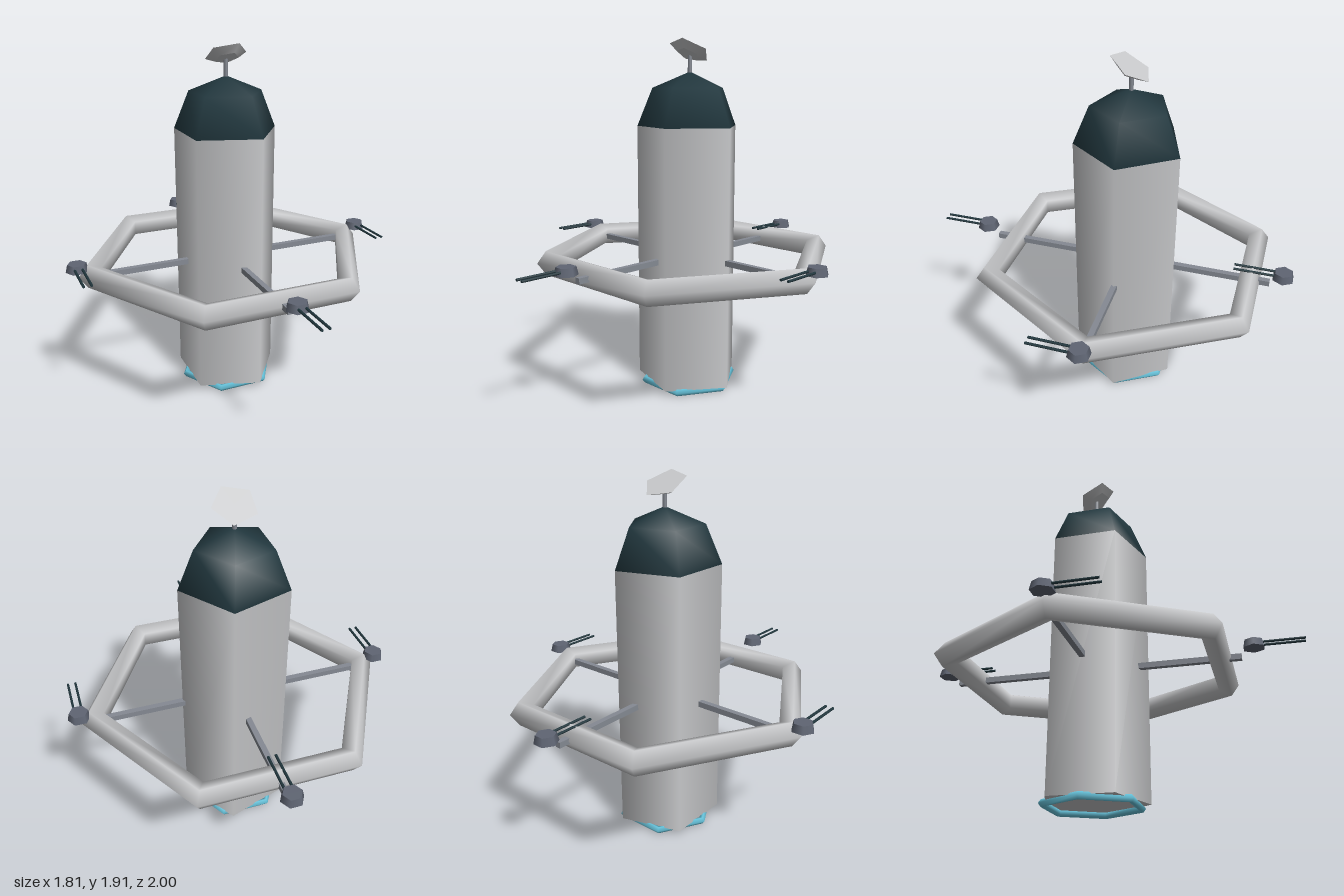
import * as THREE from 'three';

const mat = (name, color) => {
  const m = new THREE.MeshStandardMaterial({ color });
  m.name = name;
  return m;
};

export function createModel() {
  const hull = mat('hull grey', 0xc8c9cb);
  const dark = mat('dark teal', 0x22383f);
  const steel = mat('steel grey', 0x858a93);
  const gunmetal = mat('gunmetal', 0x5f6573);
  const blue = mat('engine blue', 0x66c2da);

  const model = new THREE.Group();
  model.name = 'spaceStation';
  // the station axis sits slightly behind the centre of the bounds
  const station = new THREE.Group();
  station.name = 'station';
  station.position.z = -0.105;
  model.add(station);

  const add = (name, geometry, material, x = 0, y = 0, z = 0, parent = station) => {
    const mesh = new THREE.Mesh(geometry, material);
    mesh.name = name;
    mesh.position.set(x, y, z);
    parent.add(mesh);
    return mesh;
  };

  // five-sided core with one corner towards +x, and its dome
  add('core', new THREE.CylinderGeometry(0.29, 0.29, 1.42, 5, 1, false, Math.PI / 2), hull, 0, 0.74);
  add('dome', new THREE.SphereGeometry(0.29, 5, 2, Math.PI, Math.PI * 2, 0, Math.PI / 2), dark, 0, 1.45);

  // hexagonal rings: habitat and engine glow
  const hexRing = (radius, tube) => new THREE.TorusGeometry(radius, tube, 5, 6).rotateX(Math.PI / 2);
  add('habitatRing', hexRing(0.772, 0.068), hull, 0, 0.737);
  add('engineRing', hexRing(0.255, 0.02), blue, 0, 0.02);

  // two crossing beams make the four spokes
  add('spokesAcross', new THREE.BoxGeometry(1.56, 0.03, 0.03), steel, 0, 0.735);
  add('spokesAlong', new THREE.BoxGeometry(0.03, 0.03, 1.56), steel, 0, 0.735);

  // four turrets, all with twin barrels aimed at the front
  const base = new THREE.CylinderGeometry(0.05, 0.06, 0.042, 6, 1, false, Math.PI / 2);
  const barrel = new THREE.CylinderGeometry(0.007, 0.007, 0.24, 6).rotateX(Math.PI / 2);
  for (let i = 0; i < 4; i++) {
    const a = (i * Math.PI) / 2;
    const turret = new THREE.Group();
    turret.name = 'turret';
    turret.position.set(Math.cos(a) * 0.845, 0.798, Math.sin(a) * 0.845);
    station.add(turret);
    add('turretBase', base, gunmetal, 0, 0, 0, turret);
    for (const side of [-1, 1]) add('barrel', barrel, dark, side * 0.02, 0.002, 0.14, turret);
  }

  // antenna mast and tilted five-sided dish
  add('mast', new THREE.CylinderGeometry(0.012, 0.012, 0.12, 6), steel, 0, 1.78);
  const dish = add('dish', new THREE.CylinderGeometry(0.115, 0.065, 0.03, 5, 1, false, Math.PI / 2), hull, 0, 1.842, 0.008);
  dish.rotation.x = -Math.PI / 6;

  return model;
}
